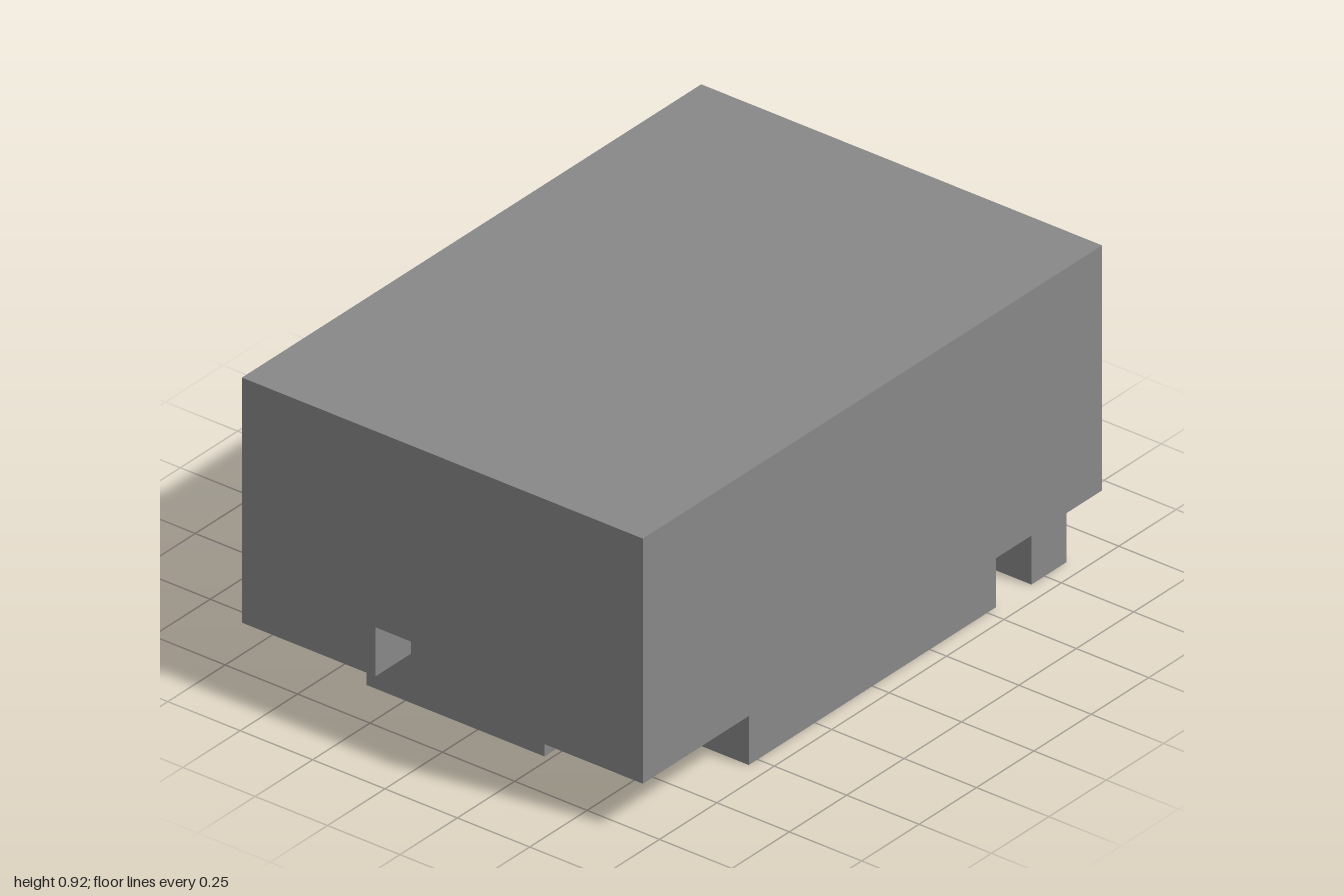
import * as THREE from 'three';

const U = 2 / 13; // one block; the model is 9 wide, 6 high and 13 long
const X = i => (i - 4.5) * U;
const Z = k => (k - 6.5) * U;

export function createModel() {
  const group = new THREE.Group();
  const grey = new THREE.MeshStandardMaterial({ color: 0x888888 });
  grey.name = 'grey';

  const add = (name, geometry) => {
    const mesh = new THREE.Mesh(geometry, grey);
    mesh.name = name;
    group.add(mesh);
  };

  // Box between block coordinates
  const block = (name, [x0, y0, z0], [x1, y1, z1]) => {
    const g = new THREE.BoxGeometry((x1 - x0) * U, (y1 - y0) * U, (z1 - z0) * U);
    g.translate(X((x0 + x1) / 2), (y0 + y1) / 2 * U, Z((z0 + z1) / 2));
    add(name, g);
  };

  const extrude = points => new THREE.ExtrudeGeometry(
    new THREE.Shape(points.map(p => new THREE.Vector2(...p))),
    { depth: U, bevelEnabled: false });

  // Main body
  block('body', [0, 1, 0], [9, 6, 12]);

  // Front wall with a square notch in its lower edge
  const wall = [[0, 1], [3, 1], [3, 2], [4, 2], [4, 1], [9, 1], [9, 6], [0, 6]];
  const wallGeometry = extrude(wall.map(([i, j]) => [X(i), j * U]));
  wallGeometry.translate(0, 0, Z(12));
  add('frontWall', wallGeometry);

  // Stepped base, outlined in plan (x, z) and one block high
  const plan = [
    [2, 1], [6, 1], [6, 3], [9, 3], [9, 10], [6, 10], [6, 12], [2, 12],
    [2, 7], [1, 7], [1, 8], [0, 8], [0, 4], [1, 4], [1, 6], [2, 6],
  ];
  const baseGeometry = extrude(plan.map(([i, k]) => [X(i), Z(k)]));
  baseGeometry.rotateX(Math.PI / 2).translate(0, U, 0);
  add('base', baseGeometry);

  // Separate feet near the back
  block('cornerFoot', [0, 0, 0], [1, 1, 1]);
  block('sideFoot', [8, 0, 1], [9, 1, 2]);

  return group;
}
